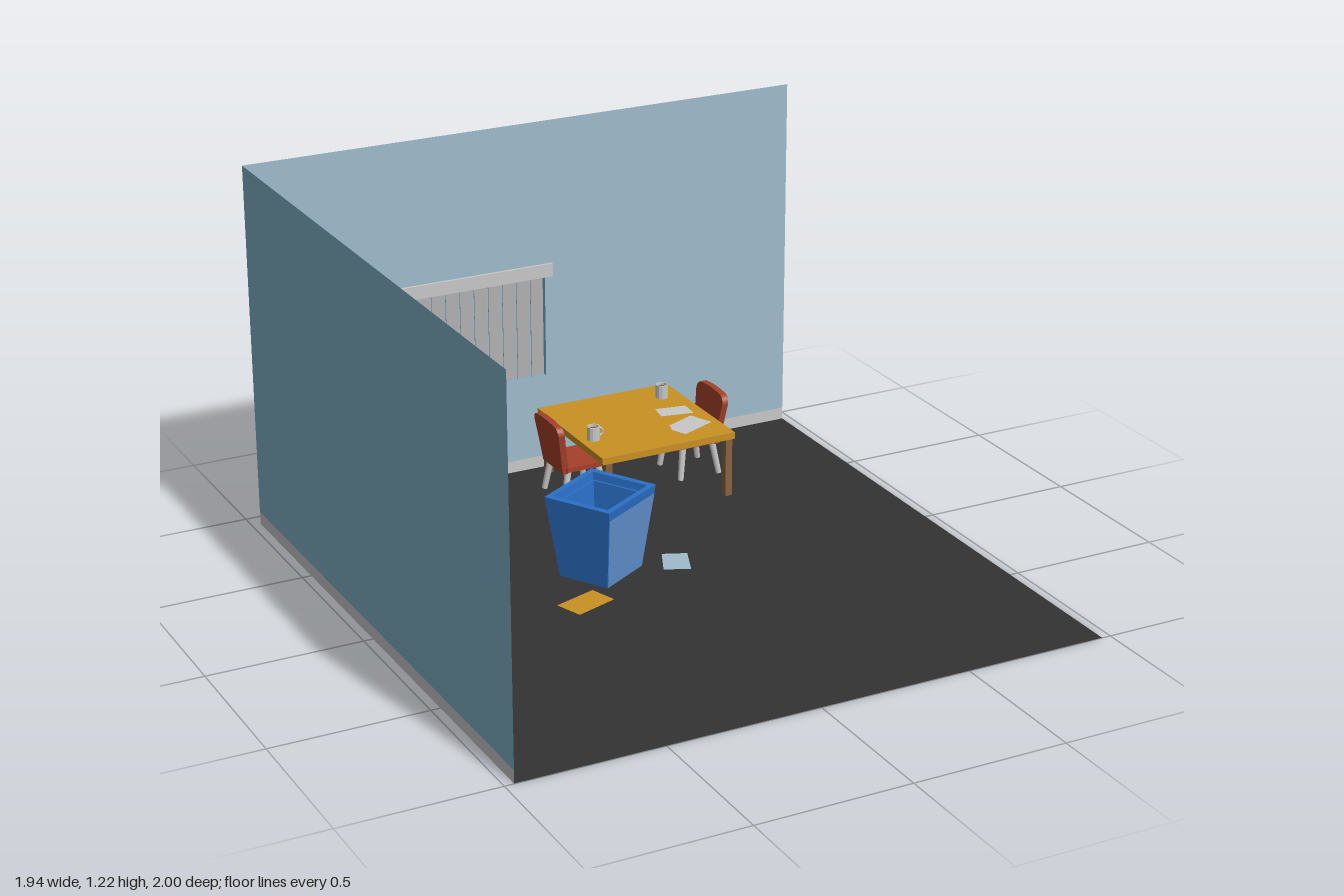
import * as THREE from 'three';

const mat = (name, color) => {
  const m = new THREE.MeshStandardMaterial({ color, side: THREE.DoubleSide });
  m.name = name;
  return m;
};

export function createModel() {
  const room = new THREE.Group();
  room.name = 'kitchen';
  const M = {
    yellow: mat('yellow wood', 0xc99122),
    brown: mat('brown wood', 0x87623f),
    grey: mat('light grey', 0xc8c8c8),
    slat: mat('blind grey', 0xb0b0b0),
    dark: mat('charcoal', 0x333333),
    red: mat('chair red', 0xa5402a),
    pale: mat('pale blue', 0x9fbbcb),
    wall: mat('wall blue', 0x7fafc7),
    bin: mat('bin blue', 0x2b70c8),
    sky: mat('cornflower blue', 0x6494d2),
  };

  const add = (name, geo, material, parent = room) => {
    const m = new THREE.Mesh(geo, material);
    m.name = name;
    parent.add(m);
    return m;
  };
  // Box given by its extents
  const box = (name, material, x0, x1, y0, y1, z0, z1, parent) => {
    const m = add(name, new THREE.BoxGeometry(x1 - x0, y1 - y0, z1 - z0), material, parent);
    m.position.set((x0 + x1) / 2, (y0 + y1) / 2, (z0 + z1) / 2);
    return m;
  };
  const polygon = (C, pts) => new C(pts.map(([a, b]) => new THREE.Vector2(a, b)));
  const rect = (C, a0, a1, b0, b1) => polygon(C, [[a0, b0], [a1, b0], [a1, b1], [a0, b1]]);
  // Flat sheet lying at height y, outlined in x and z
  const sheet = (name, material, y, pts) => {
    const geo = new THREE.ShapeGeometry(polygon(THREE.Shape, pts.map(([x, z]) => [x, -z])));
    add(name, geo.rotateX(-Math.PI / 2), material).position.y = y;
  };
  // Tapered rod between two points
  const rod = (name, material, a, b, r0, r1, parent, sides = 8) => {
    const A = new THREE.Vector3(...a), d = new THREE.Vector3(...b).sub(A);
    const m = add(name, new THREE.CylinderGeometry(r1, r0, d.length(), sides), material, parent);
    m.position.copy(A).addScaledVector(d, 0.5);
    m.quaternion.setFromUnitVectors(new THREE.Vector3(0, 1, 0), d.normalize());
    return m;
  };

  // Floor, walls and baseboards
  const X = 0.97, ZB = -0.945, H = 1.215, BASE = 0.042;
  sheet('floor', M.dark, 0.001, [[-X, ZB], [X, ZB], [X, 1], [-X, 1]]);
  const W = { x0: -0.55, x1: 0.06, y0: 0.33, y1: 0.7 };
  const back = rect(THREE.Shape, -X, X, BASE, H);
  back.holes.push(rect(THREE.Path, W.x0, W.x1, W.y0, W.y1));
  add('backWall', new THREE.ShapeGeometry(back), M.pale).position.z = ZB;
  add('backBaseboard', new THREE.ShapeGeometry(rect(THREE.Shape, -X, X, 0, BASE)), M.grey).position.z = ZB;
  for (const [name, y0, y1, m] of [['sideWall', BASE, H, M.wall], ['sideBaseboard', 0, BASE, M.grey]]) {
    const geo = new THREE.ShapeGeometry(rect(THREE.Shape, -1, -ZB, y0, y1)).rotateY(Math.PI / 2);
    add(name, geo, m).position.x = -X;
  }

  // Window recess, sticking out behind the wall
  const recess = new THREE.BoxGeometry(W.x1 - W.x0, W.y1 - W.y0, 0.055);
  const open = new THREE.MeshStandardMaterial();
  recess.setIndex([...recess.index.array].filter((_, i) => i < 24 || i >= 30)); // no front face
  recess.clearGroups();
  recess.addGroup(0, 24, 0);
  recess.addGroup(24, 6, 1);
  open.dispose();
  add('windowRecess', recess, [M.wall, M.pale])
    .position.set((W.x0 + W.x1) / 2, (W.y0 + W.y1) / 2, ZB - 0.0275);

  // Vertical blind and its valance
  for (let i = 0; i < 12; i++) {
    const s = add('blindSlat', new THREE.BoxGeometry(0.052, 0.35, 0.003), M.slat);
    s.position.set(W.x0 + (i + 0.5) * 0.0508, 0.506, -0.957);
    s.rotation.y = 0.25;
  }
  box('blindValance', M.grey, -0.575, 0.085, 0.68, 0.725, -0.944, -0.934);

  // Lower and upper cabinets
  const FX = -0.797;
  box('lowerCabinet', M.yellow, -0.969, FX, 0.002, 0.205, -0.944, 0.51);
  box('upperCabinet', M.yellow, -0.969, FX, 0.475, 0.728, -0.944, 0.03);
  box('upperCabinetTop', M.brown, -0.969, FX, 0.728, 0.732, -0.944, 0.03);
  const door = (i, y0, y1, h0, h1) => {
    const z = 0.389 - 0.2425 * i, hz = z + (i % 2 ? 0.07 : -0.07);
    box('cabinetDoor', M.yellow, FX, -0.782, y0, y1, z - 0.097, z + 0.097);
    box('doorHandle', M.grey, -0.782, -0.773, h0, h1, hz - 0.006, hz + 0.006);
  };
  for (let i = 0; i < 6; i++) {
    door(i, 0.027, 0.18, 0.123, 0.165);
    if (i > 1) door(i, 0.485, 0.688, 0.505, 0.552);
  }

  // Worktop with a cut-out sink, backsplash, tap and tray
  const top = rect(THREE.Shape, -0.969, FX, -0.51, 0.944);
  top.holes.push(rect(THREE.Path, -0.907, -0.817, -0.225, -0.06));
  const topGeo = new THREE.ExtrudeGeometry(top, { depth: 0.038, bevelEnabled: false });
  add('worktop', topGeo.rotateX(-Math.PI / 2), M.grey).position.y = 0.205;
  box('sinkBottom', M.dark, -0.907, -0.817, 0.205, 0.209, 0.06, 0.225);
  box('backsplash', M.grey, -0.969, -0.953, 0.243, 0.279, -0.944, 0.51);
  box('drainingTray', M.sky, -0.953, -0.812, 0.243, 0.247, 0.307, 0.472);
  box('tapPost', M.dark, -0.938, -0.925, 0.243, 0.332, 0.14, 0.153);
  box('tapSpout', M.dark, -0.925, -0.868, 0.319, 0.332, 0.14, 0.153);
  box('tapNozzle', M.dark, -0.879, -0.868, 0.308, 0.319, 0.14, 0.153);
  for (const z of [0.115, 0.178]) rod('tapKnob', M.dark, [-0.936, 0.243, z], [-0.936, 0.27, z], 0.008, 0.008);

  // Dining table
  box('tableTop', M.yellow, 0.014, 0.498, 0.206, 0.229, -0.918, -0.431);
  for (const x of [0.042, 0.482])
    for (const z of [-0.453, -0.897])
      box('tableLeg', M.brown, x - 0.012, x + 0.012, 0.002, 0.206, z - 0.012, z + 0.012);

  // Two chairs facing each other
  const backShape = new THREE.Shape();
  backShape.moveTo(-0.075, 0.107);
  backShape.lineTo(0.075, 0.107);
  backShape.quadraticCurveTo(0.083, 0.2, 0.092, 0.25);
  backShape.quadraticCurveTo(0.09, 0.272, 0.07, 0.278);
  backShape.quadraticCurveTo(0, 0.288, -0.07, 0.278);
  backShape.quadraticCurveTo(-0.09, 0.272, -0.092, 0.25);
  backShape.quadraticCurveTo(-0.083, 0.2, -0.075, 0.107);
  const backGeo = new THREE.ExtrudeGeometry(backShape, { depth: 0.022, bevelEnabled: false, curveSegments: 6 });
  backGeo.rotateY(Math.PI / 2);
  const p = backGeo.attributes.position;
  for (let i = 0; i < p.count; i++) p.setX(i, p.getX(i) + 0.062 + (p.getY(i) - 0.107) * 0.15); // lean back
  backGeo.computeVertexNormals();
  for (const [x, turn] of [[0.465, 0], [0.05, Math.PI]]) {
    const chair = new THREE.Group();
    chair.name = 'chair';
    chair.position.set(x, 0, -0.703);
    chair.rotation.y = turn;
    room.add(chair);
    box('chairSeat', M.red, -0.083, 0.072, 0.114, 0.13, -0.083, 0.083, chair);
    add('chairBack', backGeo, M.red, chair);
    for (const s of [-1, 1]) {
      rod('chairFrontLeg', M.grey, [-0.064, 0.002, s * 0.076], [-0.05, 0.114, s * 0.064], 0.01, 0.012, chair);
      rod('chairBackLeg', M.grey, [0.08, 0.002, s * 0.076], [0.06, 0.114, s * 0.064], 0.01, 0.012, chair);
    }
  }

  // Mugs with coffee
  const mugProfile = [[0, 0], [0.021, 0], [0.021, 0.047], [0.017, 0.047], [0.017, 0.036]];
  for (const [x, z, turn] of [[0.06, -0.59, 0], [0.428, -0.815, 1.15]]) {
    const mug = new THREE.Group();
    mug.name = 'mug';
    mug.position.set(x, 0.229, z);
    mug.rotation.y = turn;
    room.add(mug);
    const cup = new THREE.LatheGeometry(mugProfile.map(([r, y]) => new THREE.Vector2(r, y)), 12).toNonIndexed();
    cup.computeVertexNormals();
    add('mugCup', cup, M.grey, mug);
    add('coffee', new THREE.CircleGeometry(0.0175, 12).rotateX(-Math.PI / 2), M.brown, mug).position.y = 0.038;
    add('mugHandle', new THREE.TorusGeometry(0.013, 0.004, 6, 10, Math.PI).rotateZ(-Math.PI / 2), M.grey, mug)
      .position.set(0.02, 0.024, 0);
  }

  // Loose papers on the table and floor
  sheet('tablePaperSmall', M.grey, 0.231, [[0.355, -0.725], [0.46, -0.708], [0.455, -0.638], [0.345, -0.66]]);
  sheet('tablePaperLarge', M.grey, 0.231, [[0.333, -0.578], [0.435, -0.622], [0.47, -0.54], [0.345, -0.487], [0.322, -0.54]]);
  sheet('floorPaperWhite', M.grey, 0.004, [[-0.066, -0.37], [-0.02, -0.392], [0.087, -0.343], [0.04, -0.238], [-0.095, -0.29]]);
  sheet('floorPaperBlue', M.pale, 0.004, [[0.072, -0.132], [0.147, -0.1], [0.102, 0.012], [0.024, -0.027]]);
  sheet('floorPaperYellow', M.yellow, 0.004, [[-0.384, 0.053], [-0.24, 0.005], [-0.21, 0.095], [-0.352, 0.145]]);

  // Tapered four-sided waste bin with a lighter front panel
  const bin = new THREE.Group();
  bin.name = 'wasteBin';
  bin.position.set(-0.152, 0, -0.114);
  bin.rotation.y = 0.53;
  room.add(bin);
  const ratio = 0.9;
  const profile = [[0, 0], [0.098, 0], [0.133, 0.275], [0.112, 0.275], [0.109, 0.25], [0.102, 0.25], [0.079, 0.015], [0, 0.015]];
  const shell = new THREE.LatheGeometry(profile.map(([r, y]) => new THREE.Vector2(r * Math.SQRT2, y)), 4, Math.PI / 4)
    .scale(1, 1, ratio).toNonIndexed();
  shell.computeVertexNormals();
  add('binShell', shell, M.bin, bin);
  const half = (y) => 0.098 + (0.035 * y) / 0.275;
  const panel = new THREE.PlaneGeometry(2, 1);
  const q = panel.attributes.position;
  for (let i = 0; i < 4; i++) {
    const y = q.getY(i) > 0 ? 0.247 : 0.003;
    q.setXYZ(i, q.getX(i) * half(y) * 0.985, y, half(y) * ratio + 0.002);
  }
  panel.computeVertexNormals();
  add('binFrontPanel', panel, M.sky, bin);

  return room;
}
